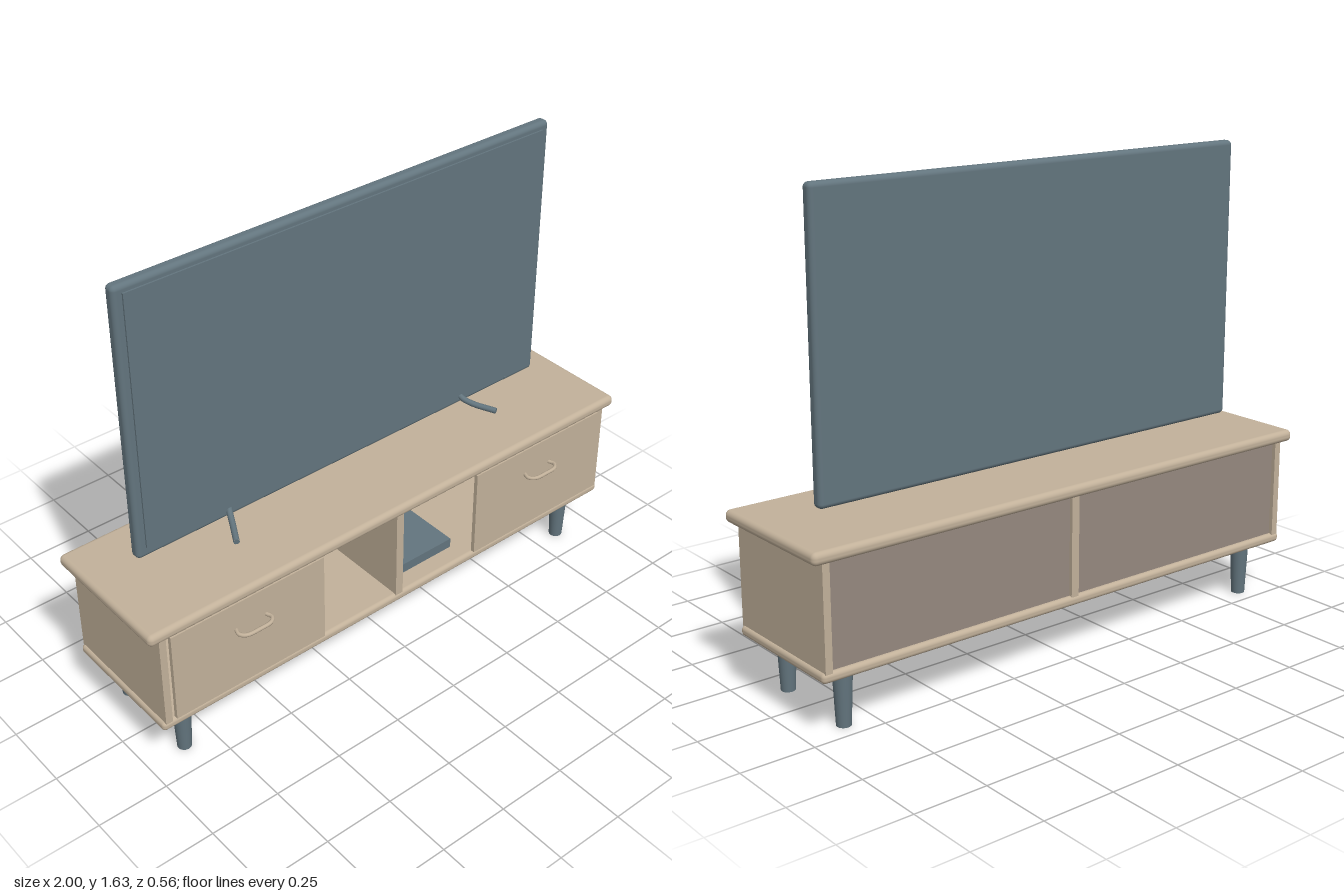
import * as THREE from 'three';
import { RoundedBoxGeometry } from 'three/addons/geometries/RoundedBoxGeometry.js';

const material = (name, color) => {
  const m = new THREE.MeshStandardMaterial({ color });
  m.name = name;
  return m;
};

export function createModel() {
  const wood = material('light wood', 0xc2b19a);
  const backing = material('grey brown backing', 0x95887f);
  const slate = material('slate', 0x63757e);

  const model = new THREE.Group();
  model.name = 'televisionOnCabinet';

  const add = (name, geometry, mat) => {
    const mesh = new THREE.Mesh(geometry, mat);
    mesh.name = name;
    model.add(mesh);
    return mesh;
  };

  // Box given by its limits, with rounded edges when a radius is set
  const box = (name, mat, [x0, x1], [y0, y1], [z0, z1], radius = 0) => {
    const size = [x1 - x0, y1 - y0, z1 - z0];
    const geometry = radius
      ? new RoundedBoxGeometry(...size, 4, radius)
      : new THREE.BoxGeometry(...size);
    const mesh = add(name, geometry, mat);
    mesh.position.set((x0 + x1) / 2, (y0 + y1) / 2, (z0 + z1) / 2);
    return mesh;
  };

  // Cabinet carcass, open behind the drawer fronts
  box('cabinetTop', wood, [-1, 1], [0.567, 0.609], [-0.28, 0.233], 0.018);
  box('cabinetBase', wood, [-0.97, 0.97], [0.19, 0.224], [-0.262, 0.218], 0.014);
  box('divider', wood, [-0.015, 0.015], [0.22, 0.57], [-0.258, 0.216]);
  for (const s of [-1, 1]) {
    box('sidePanel', wood, [s * 0.9475 - 0.0125, s * 0.9475 + 0.0125], [0.22, 0.57], [-0.26, 0.218]);
    box('backPanel', backing, [s * 0.475 - 0.463, s * 0.475 + 0.463], [0.22, 0.57], [-0.246, -0.236]);
    box('drawerFront', wood, [s * 0.63 - 0.295, s * 0.63 + 0.295], [0.233, 0.567], [0.214, 0.229]);
  }

  // Bowed drawer handles
  for (const s of [-1, 1]) {
    const path = new THREE.CatmullRomCurve3([
      [-0.058, 0.226], [-0.064, 0.25], [-0.048, 0.268], [0, 0.272],
      [0.048, 0.268], [0.064, 0.25], [0.058, 0.226],
    ].map(([x, z]) => new THREE.Vector3(s * 0.627 + x, 0.463, z)));
    add('drawerHandle', new THREE.TubeGeometry(path, 32, 0.007, 8), wood);
  }

  // Tapered legs
  for (const x of [-0.853, 0.853]) {
    for (const z of [-0.18, 0.14]) {
      add('leg', new THREE.CylinderGeometry(0.032, 0.024, 0.18, 24), slate).position.set(x, 0.09, z);
    }
  }

  // Media player on the open shelf
  box('mediaPlayer', slate, [0.02, 0.295], [0.23, 0.266], [-0.13, 0.15]);

  // Television: rounded body with a slightly raised screen
  box('televisionBody', slate, [-0.852, 0.852], [0.655, 1.627], [-0.084, -0.041], 0.016);
  box('televisionScreen', slate, [-0.82, 0.82], [0.695, 1.602], [-0.043, -0.035]);
  const sensor = add('sensor', new THREE.CylinderGeometry(0.004, 0.004, 0.004, 12), slate);
  sensor.rotation.x = Math.PI / 2;
  sensor.position.set(0.715, 0.672, -0.04);

  // Feet splay outwards and curve down to the front, with capped ends
  for (const s of [-1, 1]) {
    const points = [
      [0.497, 0.69, -0.052], [0.506, 0.673, -0.034], [0.522, 0.662, 0], [0.562, 0.654, 0.076],
    ].map(([x, y, z]) => new THREE.Vector3(s * x, y, z));
    const path = new THREE.CatmullRomCurve3(points);
    add('televisionFoot', new THREE.TubeGeometry(path, 24, 0.0105, 10), slate);
    const cap = add('footCap', new THREE.CircleGeometry(0.0105, 10), slate);
    cap.position.copy(points[3]);
    cap.lookAt(points[3].clone().add(path.getTangent(1)));
  }

  return model;
}
